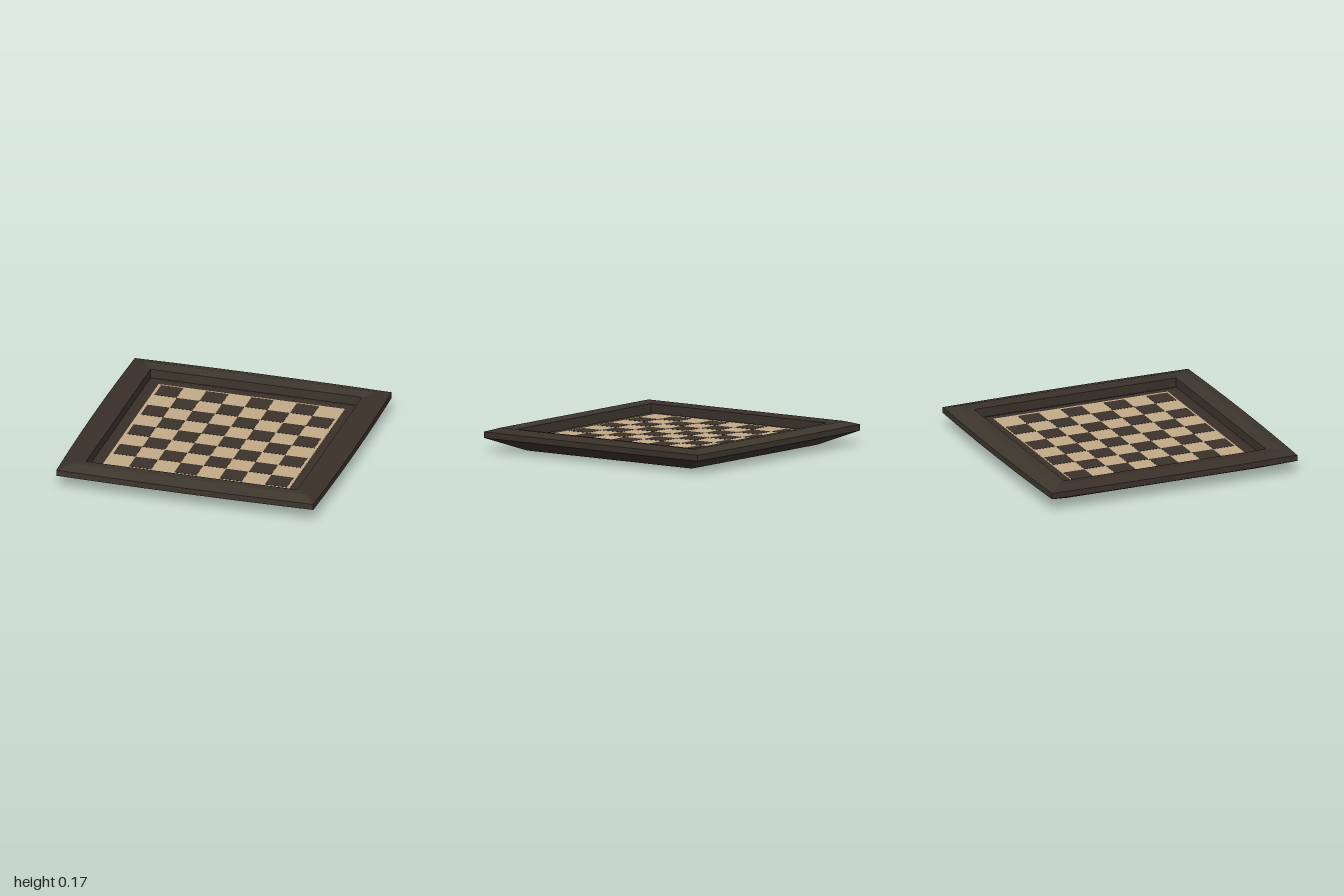
import * as THREE from 'three';

const mat = (name, color, side = THREE.FrontSide) => {
  const m = new THREE.MeshStandardMaterial({ color, side });
  m.name = name;
  return m;
};

// Mitred straight moulding facing +z, swept from [radius, height, bow] points
function mouldingSide(profile, closed) {
  const steps = 6, pos = [];
  const point = ([r, y, bow = 0], s) => {
    const t = (s / steps) * 2 - 1;
    return [t * r, y, r + bow * (1 - t * t)];
  };
  const count = closed ? profile.length : profile.length - 1;
  for (let i = 0; i < count; i++) {
    const p = profile[i], q = profile[(i + 1) % profile.length];
    for (let s = 0; s < steps; s++) {
      const a = point(p, s), b = point(p, s + 1), c = point(q, s), d = point(q, s + 1);
      pos.push(...a, ...b, ...c, ...b, ...d, ...c);
    }
  }
  const g = new THREE.BufferGeometry();
  g.setAttribute('position', new THREE.Float32BufferAttribute(pos, 3));
  g.computeVertexNormals();
  return g;
}

export function createModel() {
  const group = new THREE.Group();
  const oliveWood = mat('olive brown wood', 0x3d362d, THREE.DoubleSide);
  const brownWood = mat('dark brown wood', 0x3a302a, THREE.DoubleSide);
  const darkSquare = mat('dark square', 0x3b322b);
  const lightSquare = mat('light square', 0xc3aa88);

  const add = (name, geometry, material, x = 0, y = 0, z = 0) => {
    const mesh = new THREE.Mesh(geometry, material);
    mesh.name = name;
    mesh.position.set(x, y, z);
    group.add(mesh);
    return mesh;
  };

  // Outer frame with a sloping underside, and the bevelled edge of the panel
  const frame = mouldingSide([
    [0.76, 0], [0.985, 0.1, 0.015], [0.985, 0.145, 0.015],
    [0.9, 0.172], [0.81, 0.16], [0.81, 0.09], [0.75, 0],
  ], true);
  const bevel = mouldingSide([[0.81, 0.09], [0.77, 0.102]], false);
  ['front', 'left', 'back', 'right'].forEach((side, i) => {
    add(side + 'Frame', frame, i % 2 ? brownWood : oliveWood).rotation.y = i * Math.PI / 2;
    add(side + 'PanelBevel', bevel, brownWood).rotation.y = i * Math.PI / 2;
  });

  // Recessed panel with the light playing field
  const floorY = 0.1;
  add('panel', new THREE.BoxGeometry(1.54, 0.004, 1.54), brownWood, 0, floorY, 0);
  add('lightField', new THREE.BoxGeometry(1.43, 0.007, 1.4), lightSquare, 0, floorY, 0);

  // Dark squares, showing on both faces of the panel
  const pitch = 0.1735, pitchZ = 0.172;
  const tile = new THREE.BoxGeometry(0.17, 0.0095, 0.169);
  for (let row = 0; row < 8; row++) {
    for (let col = row % 2; col < 8; col += 2) {
      add('darkSquare', tile, darkSquare, (col - 3.5) * pitch, floorY, (row - 3.5) * pitchZ);
    }
  }
  return group;
}
